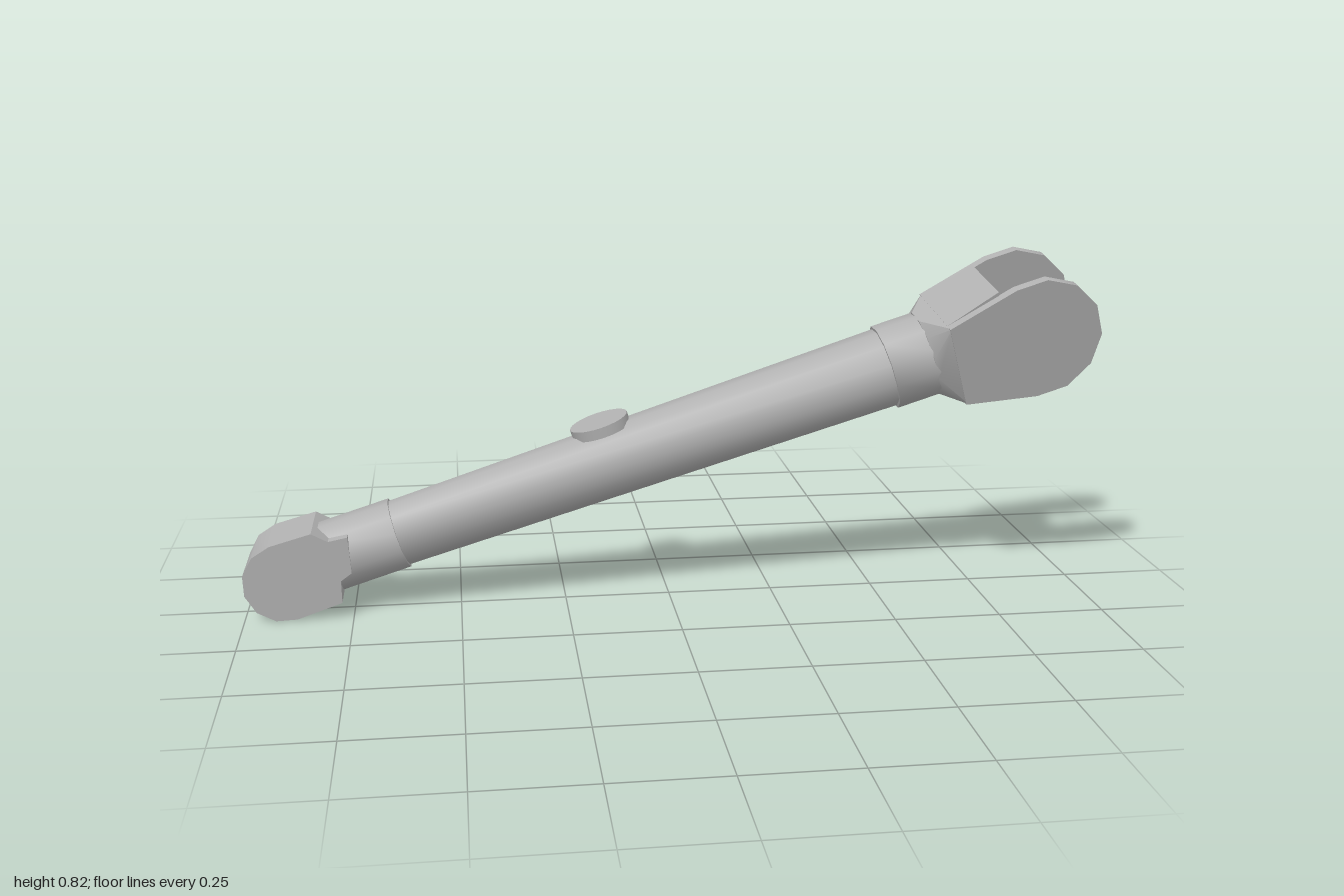
import * as THREE from 'three';
import { toCreasedNormals } from 'three/addons/utils/BufferGeometryUtils.js';
import { ConvexGeometry } from 'three/addons/geometries/ConvexGeometry.js';

const SIDES = 12;

export function createModel() {
  const model = new THREE.Group();
  model.name = 'linkArm';
  const grey = new THREE.MeshStandardMaterial({ color: 0xb0b0b0 });
  grey.name = 'plain grey';

  const add = (parent, name, geometry) => {
    const mesh = new THREE.Mesh(toCreasedNormals(geometry, 0.62), grey);
    mesh.name = name;
    parent.add(mesh);
    return mesh;
  };

  // Round section along the arm's own x axis
  const rod = (r0, r1, x0, x1) =>
    new THREE.CylinderGeometry(r1, r0, x1 - x0, SIDES)
      .rotateZ(-Math.PI / 2).rotateX(Math.PI / SIDES).translate((x0 + x1) / 2, 0, 0);

  // Flat outline given thickness, centred on z
  const slab = (points, depth, z = 0) =>
    new THREE.ExtrudeGeometry(new THREE.Shape(points), { depth, bevelEnabled: false })
      .translate(0, 0, z - depth / 2);

  const arc = (cx, r, from, to, steps) =>
    Array.from({ length: steps + 1 }, (_, i) => {
      const a = THREE.MathUtils.degToRad(from + (to - from) * i / steps);
      return new THREE.Vector2(cx + r * Math.cos(a), r * Math.sin(a));
    });
  const pt = (x, y) => new THREE.Vector2(x, y);

  // The arm rises from the knuckle towards +x
  const arm = new THREE.Group();
  arm.name = 'arm';
  arm.position.set(-0.907, 0.094, -0.013);
  arm.rotation.z = THREE.MathUtils.degToRad(17.5);
  model.add(arm);

  // Knuckle with a stepped inner end
  add(arm, 'knuckle', slab([
    ...arc(0, 0.094, 90, 270, 6),
    pt(0.11, -0.091), pt(0.125, -0.04), pt(0.155, -0.03),
    pt(0.175, 0.055), pt(0.13, 0.06), pt(0.1, 0.091),
  ], 0.177));

  // Sleeve, tapered tube and collar
  add(arm, 'sleeve', rod(0.085, 0.085, 0.06, 0.28));
  add(arm, 'tube', rod(0.079, 0.096, 0.27, 1.52));
  add(arm, 'collar', rod(0.103, 0.103, 1.5, 1.61));

  // Round cap on top of the tube
  add(arm, 'cap', new THREE.CylinderGeometry(0.071, 0.071, 0.025, 24)
    .translate(0.81, 0.087, -0.012));

  // Fork, twisted around the arm axis
  const fork = new THREE.Group();
  fork.name = 'fork';
  fork.position.z = 0.013;
  fork.rotation.x = THREE.MathUtils.degToRad(12.3);
  arm.add(fork);

  // Flare from the round collar to the square fork root
  const flare = [];
  for (let i = 0; i < SIDES; i++) {
    const a = (i + 0.5) / SIDES * Math.PI * 2;
    flare.push(new THREE.Vector3(1.6, 0.102 * Math.cos(a), 0.102 * Math.sin(a) - 0.013));
  }
  for (const y of [-0.102, 0.102])
    for (const z of [-0.112, 0.112]) flare.push(new THREE.Vector3(1.65, y, z));
  add(fork, 'forkFlare', new ConvexGeometry(flare));

  // Solid root between the cheeks
  add(fork, 'forkRoot', slab([
    pt(1.645, -0.102), pt(1.78, -0.143), pt(1.78, 0.143), pt(1.645, 0.102),
  ], 0.18));

  // Mirrored cheeks with rounded ends
  for (const side of [-1, 1])
    add(fork, side > 0 ? 'frontCheek' : 'backCheek', slab([
      pt(1.645, -0.102), ...arc(1.855, 0.148, -105, 105, 7), pt(1.645, 0.102),
    ], 0.024, side * 0.1));

  return model;
}
